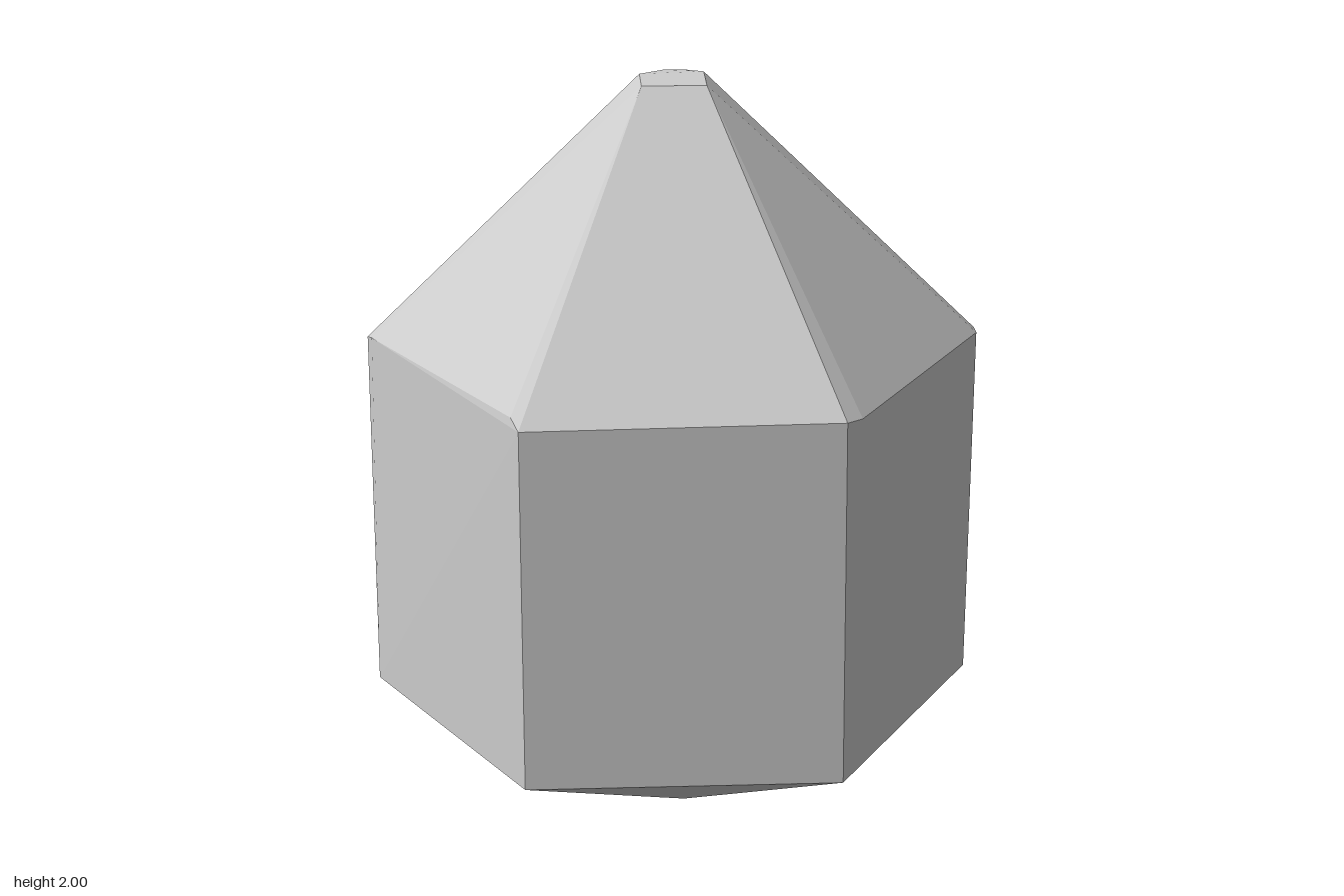
import * as THREE from 'three';
import { ConvexGeometry } from 'three/addons/geometries/ConvexGeometry.js';

// Regular ring of points for the rounded underside
function ring(count, radius, y, turn = 0) {
  const points = [];
  for (let i = 0; i < count; i++) {
    const a = turn + (i / count) * Math.PI * 2;
    points.push(new THREE.Vector3(Math.cos(a) * radius, y, Math.sin(a) * radius));
  }
  return points;
}

const toPoints = (list) => list.map(([x, y, z]) => new THREE.Vector3(x, y, z));

export function createModel() {
  const stone = new THREE.MeshStandardMaterial({ color: 0xcccccc });
  stone.name = 'pale grey stone';

  // Small worn tip
  const tip = toPoints([
    [-0.09, 1.995, 0.09], [0.09, 1.995, 0.09], [0.09, 2, -0.06],
    [0.04, 1.99, -0.13], [-0.02, 1.99, -0.13], [-0.09, 1.995, -0.06],
  ]);

  // Shoulder: hexagon with nicked corners
  const shoulder = toPoints([
    [-0.44, 1.24, 0.77], [-0.46, 1.265, 0.725], [0.42, 1.25, 0.77], [0.465, 1.245, 0.725],
    [0.87, 1.25, 0.03], [0.87, 1.25, -0.02], [0.46, 1.25, -0.73], [0.42, 1.25, -0.762],
    [-0.41, 1.25, -0.762], [-0.45, 1.25, -0.74], [-0.87, 1.25, -0.02], [-0.855, 1.265, 0.04],
  ]);

  // Foot of the upright walls
  const foot = toPoints([
    [-0.44, 0.2, 0.765], [0.43, 0.2, 0.765], [0.87, 0.2, 0.02], [0.87, 0.2, -0.02],
    [0.43, 0.2, -0.77], [-0.44, 0.2, -0.77], [-0.87, 0.2, -0.02], [-0.87, 0.2, 0.02],
  ]);

  // Faceted, shallow underside
  const underside = [
    ...ring(12, 0.645, 0.1),
    ...ring(9, 0.46, 0.044, 0.2),
    ...ring(8, 0.26, 0, 0.3),
  ];

  const crystal = new THREE.Mesh(
    new ConvexGeometry([...tip, ...shoulder, ...foot, ...underside]), stone);
  crystal.name = 'crystal';

  const model = new THREE.Group();
  model.name = 'hexagonal crystal';
  model.add(crystal);
  return model;
}
